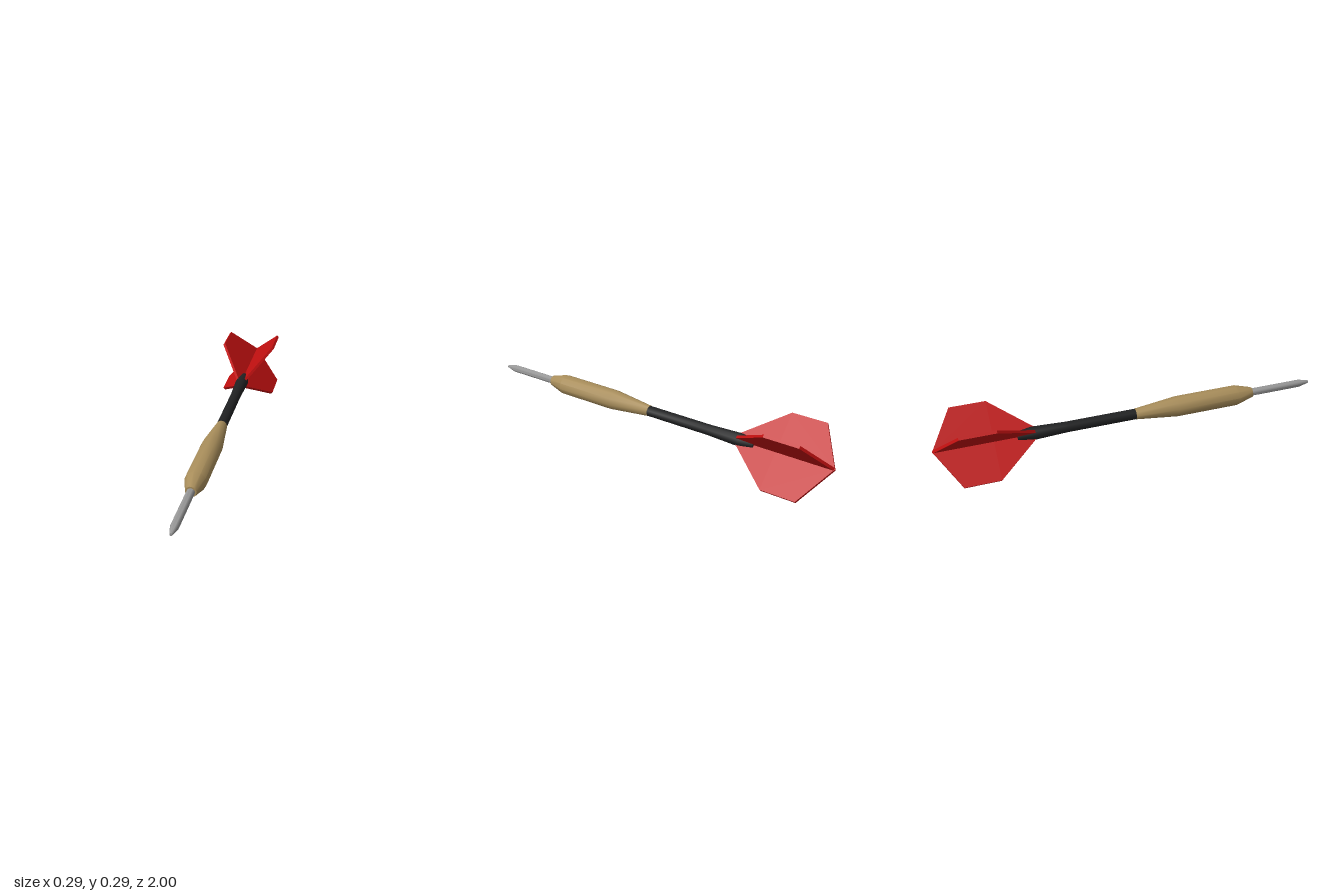
import * as THREE from 'three';
import { toCreasedNormals } from 'three/addons/utils/BufferGeometryUtils.js';

const AXIS_HEIGHT = 0.146;

function material(name, color) {
  const m = new THREE.MeshStandardMaterial({ color });
  m.name = name;
  return m;
}

// Ten-sided turned part along z; profile is [radius, z] from back to front
function turned(name, profile, mat) {
  const points = profile.map(([r, z]) => new THREE.Vector2(r, z));
  const geometry = new THREE.LatheGeometry(points, 10, THREE.MathUtils.degToRad(8));
  geometry.rotateX(Math.PI / 2);
  const mesh = new THREE.Mesh(toCreasedNormals(geometry, 0.66), mat);
  mesh.name = name;
  return mesh;
}

// Flat plate through the axis, forming two opposite fins
function finPair(name, angle, mat) {
  const thickness = 0.014;
  const half = [[0, -0.463], [0.199, -0.705], [0.199, -0.885], [0, -1]];
  const mirrored = half.slice(1, 3).reverse().map(([r, z]) => [-r, z]);
  const shape = new THREE.Shape([...half, ...mirrored].map(([r, z]) => new THREE.Vector2(r, z)));
  const geometry = new THREE.ExtrudeGeometry(shape, { depth: thickness, bevelEnabled: false });
  geometry.translate(0, 0, -thickness / 2).rotateX(Math.PI / 2).rotateZ(angle);
  const mesh = new THREE.Mesh(geometry, mat);
  mesh.name = name;
  return mesh;
}

export function createModel() {
  const steel = material('steel', 0x999999);
  const brass = material('brass', 0xa98e5b);
  const black = material('black plastic', 0x202122);
  const red = material('red', 0xc01010);

  const dart = new THREE.Group();
  dart.name = 'dart';
  dart.position.y = AXIS_HEIGHT;
  dart.add(
    turned('point', [[0.0195, 0.64], [0.0195, 0.944], [0.007, 1], [0, 1]], steel),
    turned('barrel', [[0, 0.02], [0.028, 0.02], [0.0525, 0.243], [0.0525, 0.575], [0.027, 0.666], [0, 0.666]], brass),
    turned('shaft', [[0, -0.59], [0.022, -0.59], [0.034, -0.516], [0.027, -0.34], [0.027, 0.03]], black),
    finPair('finPairRising', Math.PI / 4, red),
    finPair('finPairFalling', -Math.PI / 4, red),
  );

  const model = new THREE.Group();
  model.name = 'dartModel';
  model.add(dart);
  return model;
}
